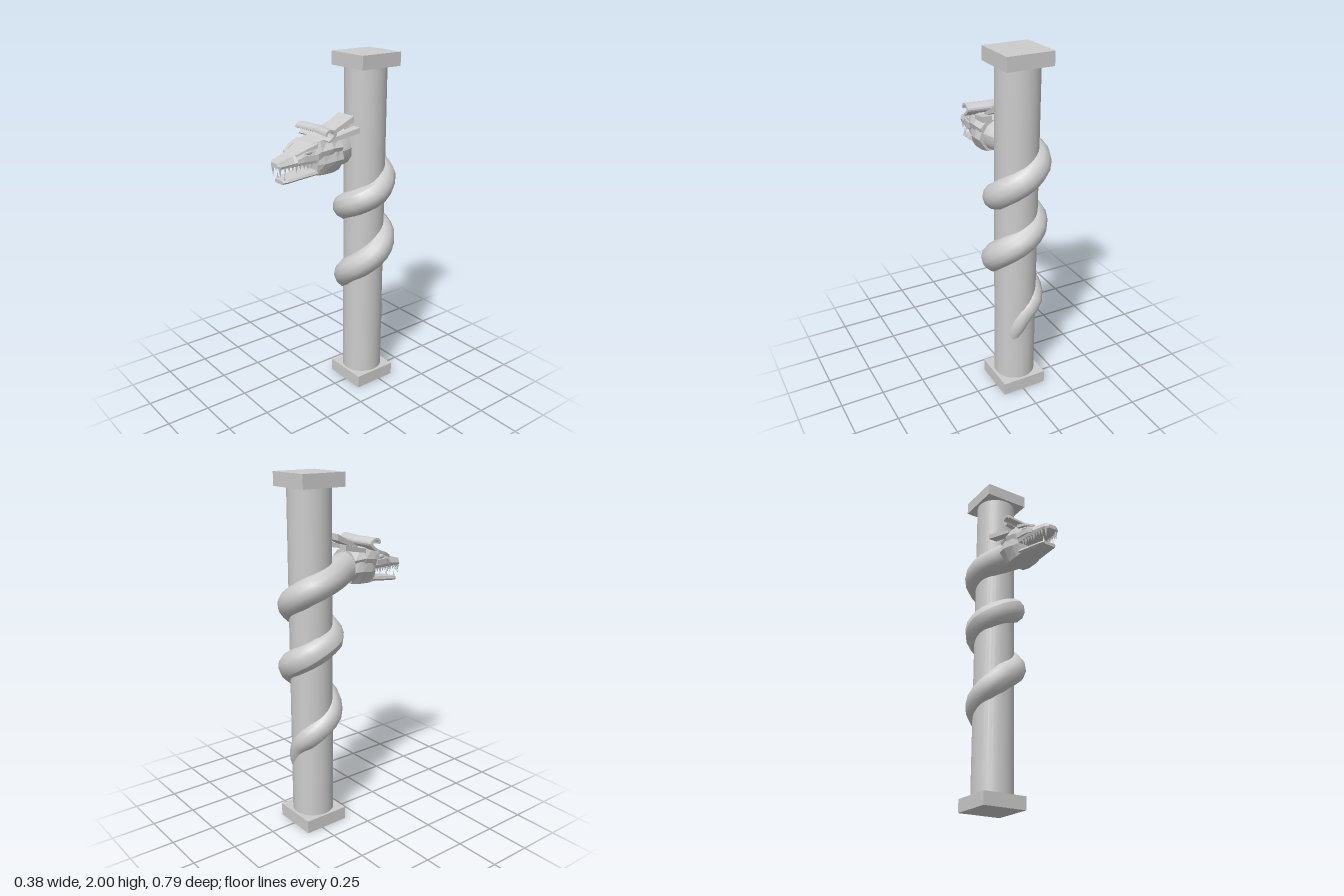
import * as THREE from 'three';

const CX = -0.008, CZ = -0.218; // pillar axis
const HX = -0.012;              // head centre line

export function createModel() {
  const model = new THREE.Group();
  const smooth = new THREE.MeshStandardMaterial({ color: 0xcccccc });
  const flat = new THREE.MeshStandardMaterial({ color: 0xcccccc, flatShading: true, side: THREE.DoubleSide });

  const add = (name, geometry, material, parent = model) => {
    const mesh = new THREE.Mesh(geometry, material);
    mesh.name = name;
    parent.add(mesh);
    return mesh;
  };

  // Closed skin over equal-sized rings, listed from front to back
  const loft = (rings) => {
    const n = rings[0].length, idx = [], last = (rings.length - 1) * n;
    for (let i = 0; i < rings.length - 1; i++)
      for (let j = 0; j < n; j++) {
        const k = (j + 1) % n, a = i * n + j, b = i * n + k, c = b + n, d = a + n;
        idx.push(a, d, c, a, c, b);
      }
    for (let j = 1; j < n - 1; j++) idx.push(0, j, j + 1, last, last + j + 1, last + j);
    const g = new THREE.BufferGeometry();
    g.setAttribute('position', new THREE.Float32BufferAttribute(rings.flat(2), 3));
    g.setIndex(idx);
    const out = g.toNonIndexed();
    out.computeVertexNormals();
    return out;
  };

  // Six-sided symmetric section: z, bottom y, widest y, top y, half widths
  const hex = ([z, y0, ym, y1, wb, wm, wt]) => [
    [-wb, y0, z], [wb, y0, z], [wm, ym, z], [wt, y1, z], [-wt, y1, z], [-wm, ym, z]];
  // Four-sided section: z, x from, x to, bottom y, top y
  const quad = ([z, xa, xb, y0, y1]) => [[xa, y0, z], [xb, y0, z], [xb, y1, z], [xa, y1, z]];

  // Pillar with square base and cap
  const shaft = add('pillarShaft', new THREE.CylinderGeometry(0.118, 0.118, 1.86, 32), smooth);
  shaft.position.set(CX, 1, CZ);
  for (const [name, y] of [['pillarBase', 0.0375], ['pillarCap', 1.9625]])
    add(name, new THREE.BoxGeometry(0.266, 0.075, 0.266), flat).position.set(CX, y, CZ);

  // Coiled body: angle round the pillar, height, distance from axis, thickness
  const coil = [
    [130, 0.27, 0.065, 0.03], [158, 0.41, 0.085, 0.048], [182, 0.49, 0.085, 0.055],
    [225, 0.56, 0.095, 0.064], [270, 0.62, 0.095, 0.067], [315, 0.67, 0.1, 0.072],
    [360, 0.74, 0.105, 0.075], [405, 0.8, 0.11, 0.077], [450, 0.87, 0.118, 0.078],
    [495, 0.94, 0.11, 0.077], [540, 0.99, 0.1, 0.075], [585, 1.035, 0.1, 0.075],
    [630, 1.08, 0.1, 0.075], [675, 1.11, 0.107, 0.075], [720, 1.15, 0.11, 0.075],
    [765, 1.19, 0.11, 0.075], [810, 1.23, 0.107, 0.075], [855, 1.29, 0.107, 0.075],
    [900, 1.34, 0.102, 0.075], [945, 1.39, 0.107, 0.076], [990, 1.43, 0.11, 0.078],
  ];
  const points = coil.map(([deg, y, R]) => {
    const a = THREE.MathUtils.degToRad(deg);
    return new THREE.Vector3(CX + R * Math.sin(a), y, CZ + R * Math.cos(a));
  });
  const radii = coil.map((c) => c[3]);
  for (const [x, y, z, r] of [[-0.09, 1.455, -0.12, 0.08], [-0.04, 1.472, -0.04, 0.087],
    [HX, 1.475, 0.04, 0.09], [HX, 1.475, 0.12, 0.075]]) {
    points.push(new THREE.Vector3(x, y, z));
    radii.push(r);
  }
  const path = new THREE.CatmullRomCurve3(points);
  const SEG = 56, SIDES = 12;
  const body = new THREE.TubeGeometry(path, SEG, 1, SIDES);
  const pos = body.attributes.position, v = new THREE.Vector3();
  for (let i = 0; i <= SEG; i++) {
    const centre = path.getPointAt(i / SEG);
    const t = path.getUtoTmapping(i / SEG) * (radii.length - 1);
    const k = Math.min(Math.floor(t), radii.length - 2);
    const r = THREE.MathUtils.lerp(radii[k], radii[k + 1], t - k);
    for (let j = 0; j <= SIDES; j++) {
      const n = i * (SIDES + 1) + j;
      v.fromBufferAttribute(pos, n).sub(centre).multiplyScalar(r).add(centre);
      pos.setXYZ(n, v.x, v.y, v.z);
    }
  }
  body.computeVertexNormals();
  add('coiledBody', body, smooth);

  // Head
  const head = new THREE.Group();
  head.name = 'head';
  head.position.x = HX;
  model.add(head);

  add('skullAndUpperJaw', loft([
    [0.391, 1.458, 1.468, 1.482, 0.02, 0.025, 0.02],
    [0.378, 1.452, 1.465, 1.49, 0.042, 0.048, 0.036],
    [0.3, 1.457, 1.475, 1.512, 0.056, 0.062, 0.043],
    [0.285, 1.458, 1.48, 1.522, 0.06, 0.068, 0.048],
    [0.195, 1.46, 1.5, 1.565, 0.072, 0.084, 0.068],
    [0.15, 1.455, 1.52, 1.575, 0.08, 0.097, 0.078],
    [0.08, 1.455, 1.53, 1.59, 0.085, 0.108, 0.07],
    [0.01, 1.46, 1.525, 1.565, 0.07, 0.1, 0.06],
  ].map(hex)), flat, head);

  add('cheeks', loft([
    [0.168, 1.388, 1.45, 1.5, 0.066, 0.082, 0.08],
    [0.13, 1.384, 1.45, 1.52, 0.07, 0.098, 0.09],
    [0.06, 1.386, 1.46, 1.535, 0.07, 0.11, 0.095],
    [0.01, 1.392, 1.46, 1.53, 0.06, 0.106, 0.085],
  ].map(hex)), flat, head);

  add('lowerJaw', loft([
    [0.362, 1.364, 1.374, 1.384, 0.03, 0.04, 0.034],
    [0.335, 1.367, 1.377, 1.389, 0.04, 0.05, 0.044],
    [0.16, 1.388, 1.4, 1.416, 0.06, 0.076, 0.07],
  ].map(hex)), flat, head);

  // Centre crest, rising backwards
  add('centreCrest', loft([
    [0.075, -0.045, 0.045, 1.575, 1.585],
    [0.055, -0.05, 0.05, 1.58, 1.6],
    [-0.085, -0.068, 0.068, 1.64, 1.675],
  ].map(quad)), flat, head);

  for (const s of [-1, 1]) {
    const side = s < 0 ? 'right' : 'left';
    const span = (z, a, b, y0, y1) => quad([z, Math.min(s * a, s * b), Math.max(s * a, s * b), y0, y1]);

    add(side + 'SideCrest', loft([
      span(0.085, 0.05, 0.096, 1.56, 1.582),
      span(-0.08, 0.075, 0.128, 1.592, 1.624),
    ]), flat, head);

    add(side + 'Brow', loft([
      span(0.29, 0.045, 0.062, 1.508, 1.52),
      span(0.24, 0.054, 0.083, 1.532, 1.546),
      span(0.175, 0.06, 0.095, 1.546, 1.568),
    ]), flat, head);

    add(side + 'LowerEyelid', loft([
      span(0.285, 0.05, 0.068, 1.47, 1.492),
      span(0.25, 0.055, 0.08, 1.478, 1.51),
      span(0.17, 0.06, 0.094, 1.48, 1.51),
    ]), flat, head);

    const eye = add(side + 'Eye', new THREE.SphereGeometry(0.016, 10, 8), smooth, head);
    eye.position.set(s * 0.07, 1.523, 0.215);
    eye.scale.set(0.7, 0.8, 1.4);

    // Teeth: upper row, then front fangs above and below
    const tooth = (name, x, y, z, r, h, up) => {
      const t = add(name, new THREE.ConeGeometry(r, h, 5), flat, head);
      t.position.set(s * x, y + (up ? h / 2 : -h / 2), z);
      if (!up) t.rotation.x = Math.PI;
    };
    for (let i = 0; i < 8; i++)
      tooth(side + 'UpperTooth', 0.043 + i * 0.003, 1.462, 0.35 - i * 0.022, 0.009, i % 3 ? 0.03 : 0.042, false);
    tooth(side + 'UpperFang', 0.034, 1.462, 0.375, 0.01, 0.06, false);
    tooth(side + 'LowerFang', 0.032, 1.378, 0.35, 0.008, 0.045, true);
  }

  // Curled horn band across the brow, swept back at the middle
  const curl = new THREE.Shape();
  curl.moveTo(0.11, 1.572);
  curl.quadraticCurveTo(0.055, 1.6, 0.068, 1.622);
  curl.quadraticCurveTo(0.085, 1.643, 0.112, 1.642);
  curl.quadraticCurveTo(0.14, 1.638, 0.14, 1.612);
  curl.lineTo(0.128, 1.607);
  curl.quadraticCurveTo(0.128, 1.626, 0.11, 1.629);
  curl.quadraticCurveTo(0.085, 1.63, 0.084, 1.612);
  curl.quadraticCurveTo(0.085, 1.6, 0.12, 1.58);
  const W = 0.274;
  const horn = new THREE.ExtrudeGeometry(curl, { depth: W, steps: 2, bevelEnabled: false, curveSegments: 5 });
  horn.translate(0, 0, -W / 2).rotateY(-Math.PI / 2);
  const hp = horn.attributes.position;
  for (let i = 0; i < hp.count; i++) hp.setZ(i, hp.getZ(i) + 0.018 * Math.abs(hp.getX(i)) / (W / 2));
  horn.computeVertexNormals();
  add('curledHorn', horn, flat, head);

  return model;
}
